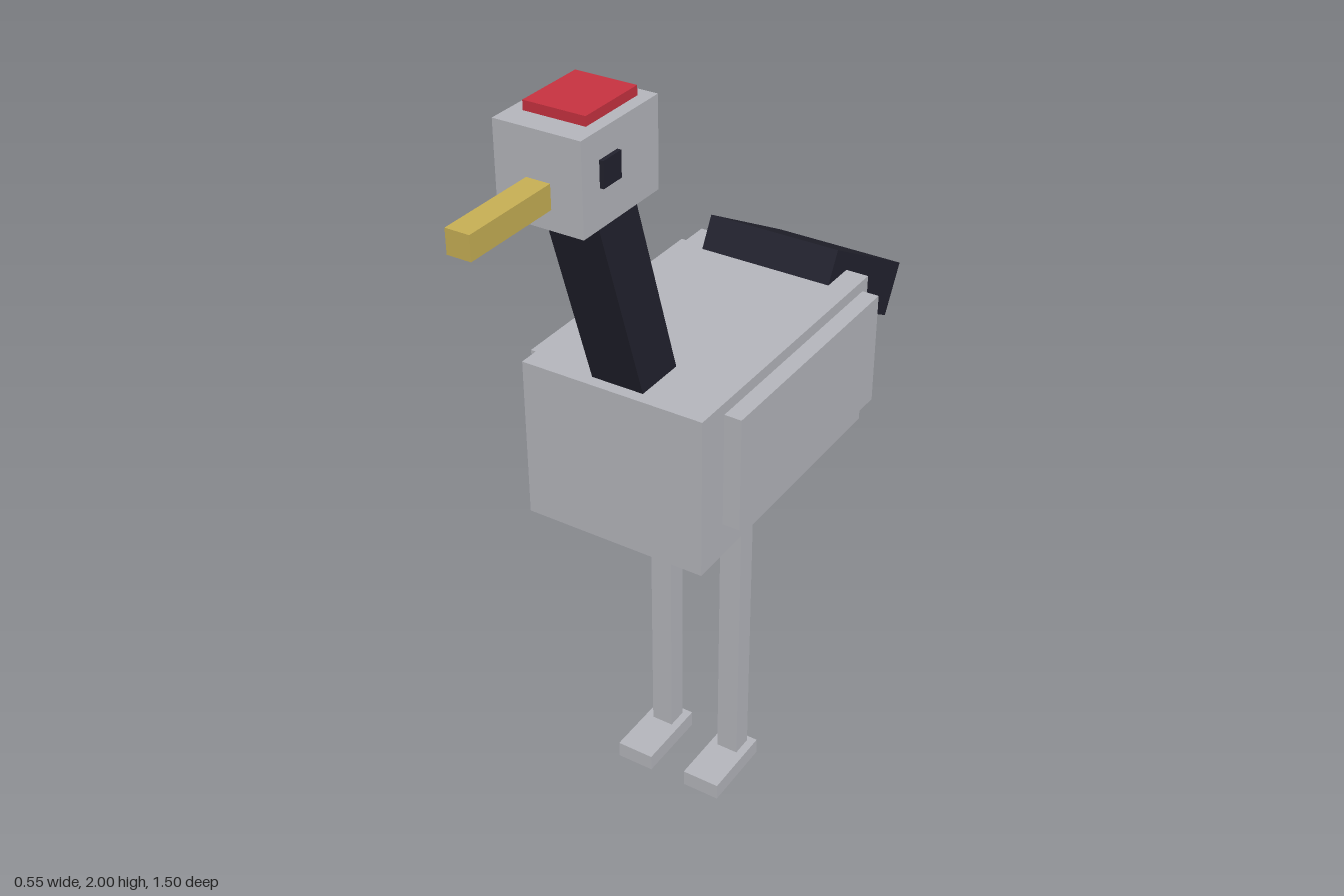
import * as THREE from 'three';

export function createModel() {
  const model = new THREE.Group();
  model.name = 'crane';

  const paint = (name, color) => {
    const m = new THREE.MeshStandardMaterial({ color });
    m.name = name;
    return m;
  };
  const grey = paint('plumageGrey', 0xb6b7bd);
  const dark = paint('featherDark', 0x22222e);
  const red = paint('crownRed', 0xc83240);
  const yellow = paint('beakYellow', 0xc8b055);

  // Box given by its centre and size, with an optional tilt about x
  function box(name, material, [x, y, z], size, tilt = 0) {
    const mesh = new THREE.Mesh(new THREE.BoxGeometry(...size), material);
    mesh.name = name;
    mesh.position.set(x, y, z);
    mesh.rotation.x = tilt;
    model.add(mesh);
  }

  // Body and drooping tail
  box('body', grey, [0, 1.1, -0.077], [0.46, 0.4, 0.746]);
  box('tail', dark, [0, 1.219, -0.542], [0.345, 0.137, 0.398], -0.5);

  // Neck leaning forward, its ends sunk into body and head
  box('neck', dark, [0, 1.54, 0.278], [0.13, 0.6, 0.126], 0.31);

  // Head
  box('head', grey, [0, 1.88, 0.382], [0.2, 0.2, 0.258]);
  box('crown', red, [0, 1.99, 0.367], [0.143, 0.022, 0.172]);
  box('beak', yellow, [0, 1.851, 0.631], [0.055, 0.054, 0.248]);

  // Paired parts
  for (const [side, s] of [['left', 1], ['right', -1]]) {
    box(side + 'Eye', dark, [s * 0.105, 1.893, 0.425], [0.009, 0.057, 0.06]);
    box(side + 'Wing', grey, [s * 0.25, 1.128, -0.109], [0.045, 0.286, 0.632]);
    box(side + 'Leg', grey, [s * 0.1, 0.472, -0.08], [0.058, 0.86, 0.055]);
    box(side + 'Foot', grey, [s * 0.1, 0.022, -0.021], [0.1, 0.044, 0.202]);
  }

  return model;
}
